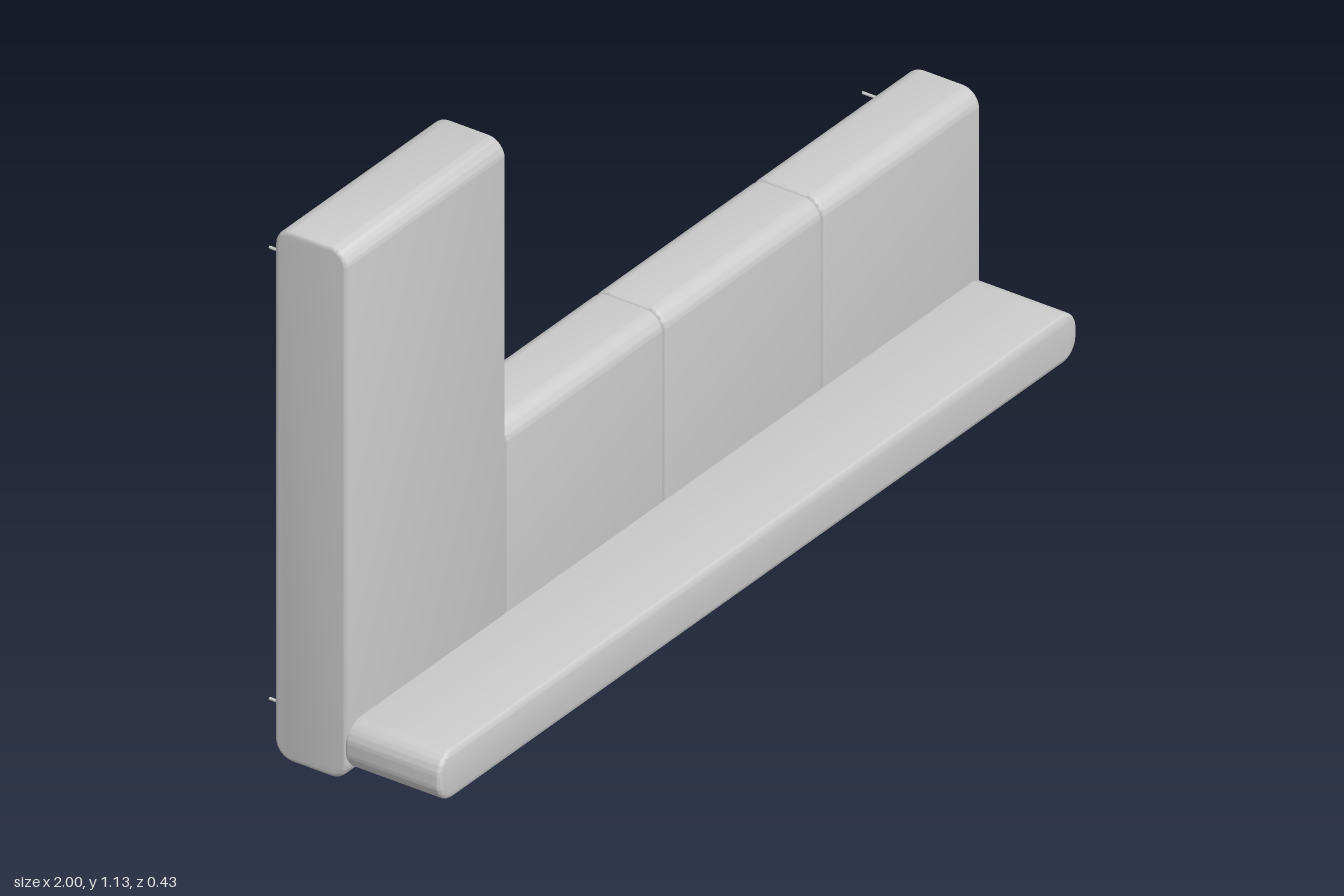
import * as THREE from 'three';
import { toCreasedNormals } from 'three/addons/utils/BufferGeometryUtils.js';

const material = new THREE.MeshStandardMaterial({ color: 0xcccccc });

// Rounded rectangle w x h, extruded to a centred block of the given depth with softly bevelled ends
function cushionGeometry(w, h, depth, radius, bevel) {
  const x = w / 2 - bevel, y = h / 2 - bevel, r = radius - bevel;
  const shape = new THREE.Shape();
  shape.absarc(x - r, y - r, r, 0, Math.PI / 2);
  shape.absarc(-x + r, y - r, r, Math.PI / 2, Math.PI);
  shape.absarc(-x + r, -y + r, r, Math.PI, Math.PI * 1.5);
  shape.absarc(x - r, -y + r, r, Math.PI * 1.5, Math.PI * 2);
  const geometry = new THREE.ExtrudeGeometry(shape, {
    depth: depth - 2 * bevel, bevelSize: bevel, bevelThickness: bevel,
    bevelSegments: 4, curveSegments: 8,
  });
  geometry.translate(0, 0, bevel - depth / 2);
  return toCreasedNormals(geometry, 0.6);
}

function addMesh(group, name, geometry, x, y, z) {
  const mesh = new THREE.Mesh(geometry, material);
  mesh.name = name;
  mesh.position.set(x, y, z);
  group.add(mesh);
}

export function createModel() {
  const group = new THREE.Group();
  group.name = 'wallPanelsWithShelf';

  // Upright padded panels, rounded along their top and bottom edges
  const back = -0.157, front = 0.008;
  const addPanel = (name, x0, x1, y0, y1) => {
    const geometry = cushionGeometry(front - back, y1 - y0, x1 - x0, 0.04, 0.01);
    geometry.rotateY(Math.PI / 2);
    addMesh(group, name, geometry, (x0 + x1) / 2, (y0 + y1) / 2, (front + back) / 2);
  };
  addPanel('tallPanel', -1, -0.499, 0, 1.13);
  for (let i = 0; i < 3; i++) {
    const x0 = -0.499 + i * 0.496;
    addPanel('lowPanel' + (i + 1), x0, x0 + 0.496, 0.014, 0.52);
  }

  // Long shelf with rounded ends
  addMesh(group, 'shelf', cushionGeometry(2, 0.102, 0.217, 0.042, 0.01), 0, 0.073, 0.1085);

  // Thin mounting pins on the back
  const pin = new THREE.CylinderGeometry(0.003, 0.003, 0.065, 12);
  pin.rotateX(Math.PI / 2);
  const pins = [[-0.93, 1.03], [-0.535, 1.03], [-0.535, 0.463], [-0.93, 0.07], [0.93, 0.463], [0.93, 0.07]];
  for (const [x, y] of pins) addMesh(group, 'mountingPin', pin, x, y, -0.1845);

  return group;
}
